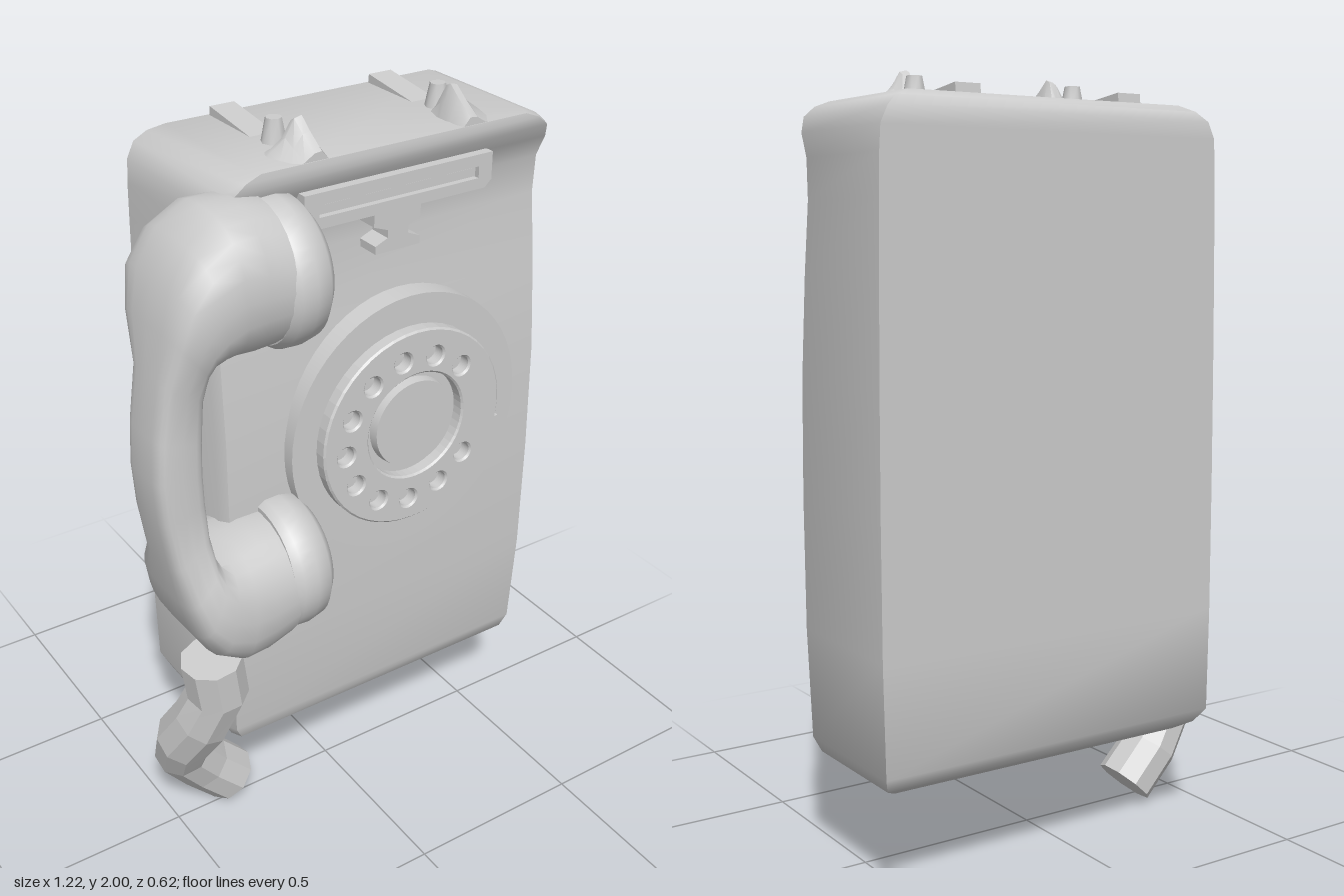
import * as THREE from 'three';
import { toCreasedNormals } from 'three/addons/utils/BufferGeometryUtils.js';

const V = (x, y, z) => new THREE.Vector3(x, y, z);

// Closed skin through cross-sections, each counter-clockwise about the travel direction
function loft(sections, crease = 0.6) {
  const pos = [];
  const tri = (...pts) => pts.forEach(p => pos.push(p.x, p.y, p.z));
  const n = sections[0].length;
  const middle = s => s.reduce((sum, p) => sum.add(p), V(0, 0, 0)).divideScalar(n);
  const first = sections[0], last = sections[sections.length - 1];
  const c0 = middle(first), c1 = middle(last);
  for (let j = 0; j < n; j++) {
    const k = (j + 1) % n;
    for (let i = 0; i + 1 < sections.length; i++) {
      const a = sections[i], b = sections[i + 1];
      tri(a[j], a[k], b[k]);
      tri(a[j], b[k], b[j]);
    }
    tri(c0, first[k], first[j]);
    tri(c1, last[j], last[k]);
  }
  const g = new THREE.BufferGeometry();
  g.setAttribute('position', new THREE.Float32BufferAttribute(pos, 3));
  return toCreasedNormals(g, crease);
}

function disc(radiusFront, radiusBack, z0, z1, x, y) {
  const g = new THREE.CylinderGeometry(radiusFront, radiusBack, z1 - z0, 56);
  return g.rotateX(Math.PI / 2).translate(x, y, (z0 + z1) / 2);
}

function circleHole(x, y, r) {
  const p = new THREE.Path();
  p.absarc(x, y, r, 0, Math.PI * 2, true);
  return p;
}

function plate(points, holes, z0, z1) {
  const s = new THREE.Shape(points.map(([x, y]) => new THREE.Vector2(x, y)));
  holes.forEach(h => s.holes.push(new THREE.Path(h.map(([x, y]) => new THREE.Vector2(x, y)))));
  return new THREE.ExtrudeGeometry(s, { depth: z1 - z0, bevelEnabled: false }).translate(0, 0, z0);
}

export function createModel() {
  const group = new THREE.Group();
  const grey = new THREE.MeshStandardMaterial({ color: 0xcccccc });
  grey.name = 'lightGrey';
  const add = (name, geometry) => {
    const m = new THREE.Mesh(geometry, grey);
    m.name = name;
    group.add(m);
    return m;
  };

  // Case: rows of height, half width, back z, front z
  const cx = 0.115;
  const rows = [
    [0.27, 0.40, -0.22, 0.04], [0.276, 0.43, -0.24, 0.07], [0.30, 0.469, -0.28, 0.095],
    [0.34, 0.488, -0.31, 0.105], [0.62, 0.493, -0.31, 0.118], [0.95, 0.493, -0.31, 0.12],
    [1.25, 0.491, -0.31, 0.115], [1.5, 0.488, -0.31, 0.095], [1.68, 0.485, -0.31, 0.075],
    [1.78, 0.483, -0.31, 0.082], [1.84, 0.479, -0.31, 0.115], [1.88, 0.46, -0.31, 0.14],
    [1.905, 0.43, -0.295, 0.142], [1.92, 0.39, -0.275, 0.14],
  ];
  add('case', loft(rows.map(([y, w, back, front]) => [
    V(cx - w + 0.015, y, front), V(cx + w - 0.015, y, front), V(cx + w, y, front - 0.03),
    V(cx + w, y, back), V(cx - w, y, back), V(cx - w, y, front - 0.03),
  ]), 0.95));

  // Cradle on top: horn, pin and sloping ridge on each side
  for (const s of [-1, 1]) {
    const mid = 0.11;
    const outline = [[0.175, 1.9], [0.33, 1.9], [0.29, 1.93], [0.255, 1.955], [0.23, 1.995], [0.21, 2.0], [0.195, 1.96]];
    const horn = [[0.0, 0.3], [0.04, 0.92], [0.055, 1], [0.09, 0.72], [0.138, 0.4]].map(([z, h]) => {
      const pts = outline.map(([x, y]) => V(mid + s * x, 1.9 + (y - 1.9) * h, z));
      return s < 0 ? pts.reverse() : pts;
    });
    add('cradleHorn', loft(horn));
    const pin = new THREE.CylinderGeometry(0.02, 0.036, 0.08, 8);
    add('cradlePin', toCreasedNormals(pin, 0.9)).position.set(mid + s * 0.235, 1.938, -0.026);
    const ridge = add('cradleRidge', new THREE.BoxGeometry(0.068, 0.03, 0.21));
    ridge.position.set(mid + s * 0.233, 1.915, -0.165);
    ridge.rotation.x = 0.12;
  }

  // Dial base and finger wheel
  const dx = 0.15, dy = 1.17;
  add('dialBase', disc(0.349, 0.353, 0.06, 0.15, 0, 0).scale(1, 1.035, 1).translate(dx + 0.002, dy - 0.005, 0));
  const wheel = new THREE.Shape();
  wheel.absarc(dx, dy, 0.272, 0, Math.PI * 2, false);
  wheel.holes.push(circleHole(dx + 0.007, dy + 0.005, 0.15));
  for (let i = 0; i < 11; i++) {
    const a = (44 + 28 * i) * Math.PI / 180;
    wheel.holes.push(circleHole(dx - 0.003 + 0.205 * Math.cos(a), dy - 0.005 + 0.205 * Math.sin(a), 0.028));
  }
  add('fingerWheel', new THREE.ExtrudeGeometry(wheel, {
    depth: 0.03, bevelThickness: 0.005, bevelSize: 0.005, bevelOffset: -0.002, bevelSegments: 1, curveSegments: 24,
  }).translate(0, 0, 0.15));
  add('dialCentre', disc(0.12, 0.125, 0.14, 0.175, dx + 0.01, dy + 0.005));
  add('fingerStop', plate([[0.36, 1.05], [0.405, 1.05], [0.43, 1.09], [0.43, 1.12], [0.40, 1.12]], [], 0.14, 0.182));

  // Card frame with a recessed strip, and a stepped latch below it
  add('cardFrame', plate(
    [[-0.15, 1.775], [-0.13, 1.757], [0.37, 1.757], [0.39, 1.775], [0.39, 1.845], [-0.15, 1.845]],
    [[[-0.11, 1.785], [-0.11, 1.815], [0.35, 1.815], [0.35, 1.785]]], 0.06, 0.143));
  add('cardStrip', new THREE.BoxGeometry(0.45, 0.022, 0.07)).position.set(0.12, 1.8, 0.1);
  add('latch', plate(
    [[0.05, 1.655], [0.18, 1.655], [0.18, 1.675], [0.145, 1.69], [0.145, 1.71], [0.18, 1.725], [0.18, 1.76],
      [0.045, 1.76], [0.045, 1.725], [0.085, 1.71], [0.085, 1.69], [0.05, 1.675]], [], 0.05, 0.14));

  // Handset: inner point, outer point, z centre, z half depth, squareness; lower half mirrors the upper
  const axis = 1.28;
  const half = [
    [-0.265, 1.525, -0.265, 1.868, 0.13, 0.168, 0.95], [-0.34, 1.525, -0.34, 1.884, 0.13, 0.178, 0.9],
    [-0.39, 1.535, -0.41, 1.878, 0.13, 0.18, 0.8], [-0.43, 1.542, -0.485, 1.825, 0.13, 0.18, 0.7],
    [-0.455, 1.543, -0.537, 1.74, 0.13, 0.174, 0.62], [-0.468, 1.525, -0.562, 1.64, 0.14, 0.145, 0.55],
    [-0.475, 1.46, -0.583, 1.53, 0.163, 0.09, 0.5], [-0.483, 1.36, -0.605, 1.39, 0.165, 0.086, 0.45],
  ];
  const flip = ([ix, iy, ox, oy, ...rest]) => [ix, 2 * axis - iy, ox, 2 * axis - oy, ...rest];
  const spine = [...half, [-0.485, axis, -0.612, axis, 0.165, 0.086, 0.45], ...half.map(flip).reverse()];
  const power = (v, e) => Math.sign(v) * Math.abs(v) ** e;
  add('handset', loft(spine.map(([ix, iy, ox, oy, zc, hz, e]) => Array.from({ length: 24 }, (_, i) => {
    const a = i / 24 * Math.PI * 2, c = power(Math.cos(a), e), s = power(Math.sin(a), e);
    return V((ix + ox) / 2 + c * (ox - ix) / 2, (iy + oy) / 2 + c * (oy - iy) / 2, zc - s * hz);
  })), 0.75));

  // Earpiece and mouthpiece caps
  const capProfile = [[0, 0], [0.165, 0], [0.179, 0.02], [0.181, 0.06], [0.172, 0.1], [0.14, 0.127], [0.09, 0.138], [0, 0.14]]
    .map(([r, h]) => new THREE.Vector2(r, h));
  for (const [name, y] of [['earpiece', 1.682], ['mouthpiece', 0.882]]) {
    const cap = toCreasedNormals(new THREE.LatheGeometry(capProfile, 40), 0.7);
    add(name, cap.rotateZ(-Math.PI / 2).translate(-0.28, y, 0.13));
  }

  // Faceted cord stub
  const path = new THREE.CatmullRomCurve3([
    V(-0.455, 0.672, 0.16), V(-0.438, 0.53, 0.15), V(-0.48, 0.4, 0.09),
    V(-0.48, 0.27, 0.0), V(-0.40, 0.15, -0.03), V(-0.316, 0.06, -0.03)]);
  const steps = 6, frames = path.computeFrenetFrames(steps, false);
  add('cord', loft(Array.from({ length: steps + 1 }, (_, i) => Array.from({ length: 9 }, (_, j) => {
    const a = j / 9 * Math.PI * 2;
    return path.getPointAt(i / steps)
      .addScaledVector(frames.normals[i], 0.082 * Math.cos(a))
      .addScaledVector(frames.binormals[i], 0.082 * Math.sin(a));
  })), 0.05));

  return group;
}
